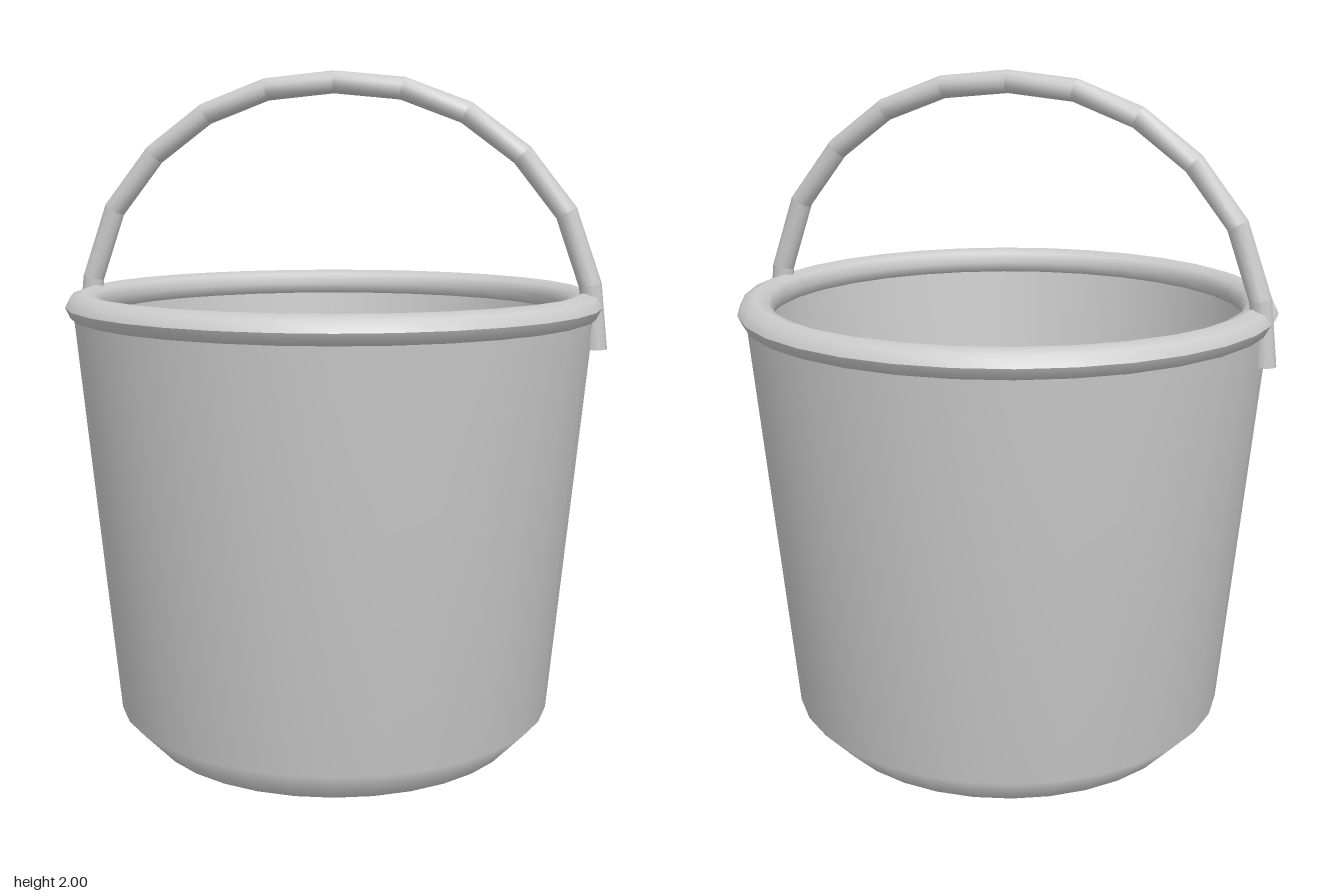
import * as THREE from 'three';

const SIDES = 32;

export function createModel() {
  const group = new THREE.Group();
  const material = new THREE.MeshStandardMaterial({ color: 0xcccccc });
  const add = (name, geometry) => {
    const mesh = new THREE.Mesh(geometry, material);
    mesh.name = name;
    group.add(mesh);
    return mesh;
  };
  const lathe = (points) =>
    new THREE.LatheGeometry(points.map(([r, y]) => new THREE.Vector2(r, y)), SIDES);

  // Pail: tapered outer wall with a chamfered foot, inner wall, two discs
  add('outerWall', lathe([[0.56, 0], [0.655, 0.1], [0.77, 1.31]]));
  add('innerWall', lathe([[0.71, 1.31], [0.6, 0.1]]));
  add('base', lathe([[0, 0], [0.56, 0]]));
  add('innerFloor', lathe([[0.6, 0.1], [0, 0.1]]));

  // Rolled rim, slightly flattened
  const rim = [];
  for (let i = 0; i <= 8; i++) {
    const a = (i / 8) * Math.PI * 2;
    rim.push([0.741 + 0.052 * Math.cos(a), 1.32 + 0.044 * Math.sin(a)]);
  }
  add('rim', lathe(rim));

  // Handle: an arch of straight mitred segments
  const half = [[0.775, 1.2], [0.755, 1.385], [0.682, 1.592], [0.552, 1.757],
    [0.39, 1.877], [0.203, 1.947]];
  const path = [...half, [0, 1.967], ...half.map(([x, y]) => [-x, y]).reverse()]
    .map(([x, y]) => new THREE.Vector3(x, y, 0));
  const handle = new THREE.Group();
  handle.name = 'handle';
  group.add(handle);

  const radius = 0.033, ringSides = 10, last = path.length - 1;
  const direction = (i) => path[i + 1].clone().sub(path[i]).normalize();
  const outwardAt = (i) => {
    if (i === 0 || i === last) return new THREE.Vector3(Math.sign(path[i].x), 0, 0);
    const t = direction(i - 1).add(direction(i)).normalize();
    return new THREE.Vector3(t.y, -t.x, 0);
  };
  for (let s = 0; s < last; s++) {
    const positions = [], index = [];
    for (const i of [s, s + 1]) {
      const out = outwardAt(i);
      for (let k = 0; k < ringSides; k++) {
        const a = (k / ringSides) * Math.PI * 2;
        const p = path[i].clone().addScaledVector(out, radius * Math.cos(a));
        positions.push(p.x, p.y, radius * Math.sin(a));
      }
    }
    for (let k = 0; k < ringSides; k++) {
      const n = (k + 1) % ringSides;
      index.push(k, k + ringSides, n, n, k + ringSides, n + ringSides);
    }
    const geometry = new THREE.BufferGeometry();
    geometry.setAttribute('position', new THREE.Float32BufferAttribute(positions, 3));
    geometry.setIndex(index);
    geometry.computeVertexNormals();
    handle.add(Object.assign(new THREE.Mesh(geometry, material), { name: 'handleSegment' }));
  }

  // Flat caps on the handle ends
  for (const side of [-1, 1]) {
    const cap = new THREE.Mesh(new THREE.CircleGeometry(radius, ringSides), material);
    cap.name = 'handleEnd';
    cap.rotation.x = Math.PI / 2;
    cap.position.set(side * 0.775, 1.2, 0);
    handle.add(cap);
  }
  return group;
}
